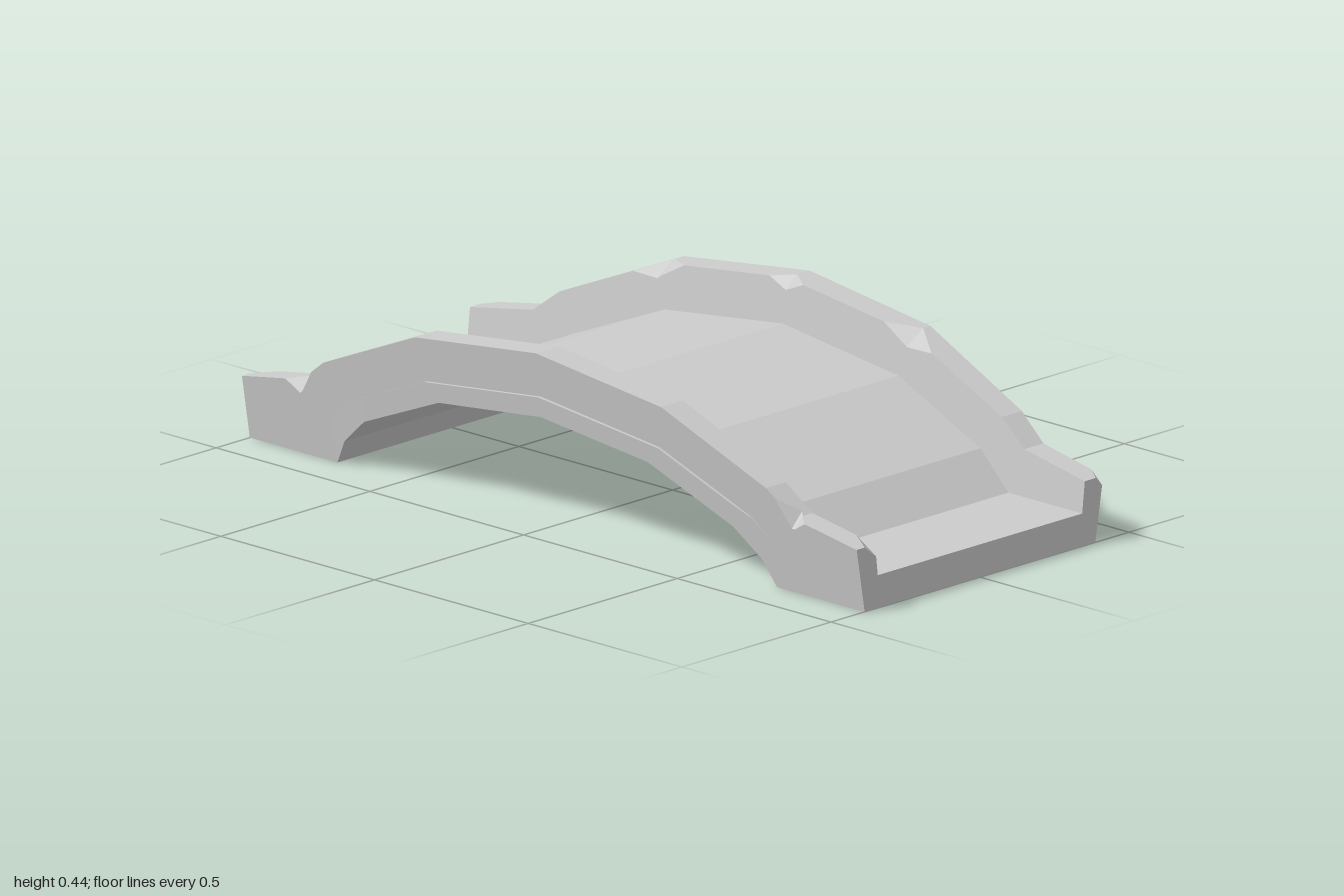
import * as THREE from 'three';

// Half profiles along the span: [distance from centre, height]
const WALL_TOP = [[0, 0.435], [0.4, 0.387], [0.72, 0.252], [0.8, 0.192], [1, 0.157]];
const DECK_TOP = [[0, 0.325], [0.38, 0.28], [0.66, 0.165], [0.76, 0.08], [1, 0.08]];
const UNDERSIDE = [[0, 0.275], [0.34, 0.236], [0.6, 0.13], [0.68, 0.062], [0.715, 0], [1, 0]];
const RIM = [[0, 0.009], [0.6, 0.007], [0.715, 0], [1, 0]];

// Chipped wall edges: side, edge, position, half length, width across the top, depth
const CHIPS = [
  { side: 1, edge: 'inner', z: -0.41, half: 0.08, w: 0.05, d: 0.035 },
  { side: 1, edge: 'inner', z: 0, half: 0.055, w: 0.035, d: 0.03 },
  { side: 1, edge: 'inner', z: 0.4, half: 0.08, w: 0.05, d: 0.035 },
  { side: 1, edge: 'outer', z: -1, half: 0.04, w: 0.025, d: 0.022 },
  { side: 1, edge: 'outer', z: 1, half: 0.04, w: 0.025, d: 0.022 },
  { side: -1, edge: 'inner', z: -1, half: 0.06, w: 0.035, d: 0.03 },
  { side: -1, edge: 'inner', z: 1, half: 0.06, w: 0.035, d: 0.03 },
  { side: -1, edge: 'outer', z: -0.81, half: 0.045, w: 0.04, d: 0.035 },
  { side: -1, edge: 'outer', z: 0.79, half: 0.045, w: 0.04, d: 0.035 },
];

// Star-shaped crack in the deck
const CRACK = { x: 0.24, z: -0.76, depth: 0.03 };
const CRACK_X = [0.28, 0.255, 0.24, 0.225, 0.2];
const CRACK_Z = [-0.86, -0.785, -0.76, -0.735, -0.7];

function heightAt(profile, z) {
  const d = Math.abs(z);
  for (let i = 1; i < profile.length; i++) {
    const [d0, y0] = profile[i - 1], [d1, y1] = profile[i];
    if (d <= d1) return y0 + (y1 - y0) * (d - d0) / (d1 - d0);
  }
  return profile[profile.length - 1][1];
}

// Walls lean outwards
const outerX = y => 0.387 + 0.168 * y;
const innerX = y => 0.334 + 0.113 * y;

function chipAt(side, edge, z) {
  let w = 0, d = 0;
  for (const c of CHIPS) {
    if (c.side !== side || c.edge !== edge) continue;
    const k = Math.max(0, 1 - Math.abs(z - c.z) / c.half);
    w += c.w * k;
    d += c.d * k;
  }
  return { w, d };
}

function crackAt(x, z) {
  const spread = Math.sqrt(Math.abs(x - CRACK.x) / 0.04) + Math.sqrt(Math.abs(z - CRACK.z) / 0.09);
  return CRACK.depth * Math.max(0, 1 - spread);
}

// One wall, from the outer bottom edge over the top to the deck
function wallSection(side, z) {
  const top = heightAt(WALL_TOP, z), deck = heightAt(DECK_TOP, z);
  const low = heightAt(UNDERSIDE, z), rim = heightAt(RIM, z);
  const out = chipAt(side, 'outer', z), inn = chipAt(side, 'inner', z);
  return [
    [outerX(low) + rim, low],
    [outerX(deck) + rim, deck],
    [outerX(deck), deck],
    [outerX(top - out.d), top - out.d],
    [outerX(top) - out.w, top],
    [innerX(top) + inn.w, top],
    [innerX(top - inn.d), top - inn.d],
    [innerX(deck), deck],
  ].map(([x, y]) => new THREE.Vector3(side * x, y, z));
}

// Closed U-shaped cross-section, anticlockwise seen from the front
function section(z) {
  const deck = heightAt(DECK_TOP, z);
  const floor = CRACK_X.map(x => new THREE.Vector3(x, deck - crackAt(x, z), z));
  return [...wallSection(1, z), ...floor, ...wallSection(-1, z).reverse()];
}

// Every position along the span where some edge bends
function stations() {
  const zs = [...CRACK_Z];
  for (const p of [WALL_TOP, DECK_TOP, UNDERSIDE, RIM]) for (const [d] of p) zs.push(d, -d);
  for (const c of CHIPS) zs.push(c.z - c.half, c.z, c.z + c.half);
  return zs.filter(z => Math.abs(z) <= 1).sort((a, b) => a - b)
    .filter((z, i, all) => i === 0 || z - all[i - 1] > 1e-5);
}

function bridgeGeometry() {
  const rings = stations().map(section);
  const n = rings[0].length;
  const positions = [];
  const ab = new THREE.Vector3(), ac = new THREE.Vector3();
  const tri = (a, b, c) => {
    ab.subVectors(b, a);
    ac.subVectors(c, a);
    if (ab.cross(ac).length() < 1e-9) return;
    for (const p of [a, b, c]) positions.push(p.x, p.y, p.z);
  };

  // Skin between neighbouring sections
  for (let s = 0; s < rings.length - 1; s++) {
    const r = rings[s], q = rings[s + 1];
    for (let i = 0; i < n; i++) {
      const j = (i + 1) % n;
      tri(r[i], r[j], q[j]);
      tri(r[i], q[j], q[i]);
    }
  }

  // End faces: two walls and the slab between them
  const cap = (r, flip) => {
    const face = (a, b, c) => (flip ? tri(r[a], r[c], r[b]) : tri(r[a], r[b], r[c]));
    const left = n - 8;
    for (let i = 0; i < 6; i++) {
      face(7, i, i + 1);
      face(left, left + 1 + i, left + 2 + i);
    }
    face(n - 1, 0, 7);
    face(n - 1, 7, left);
  };
  cap(rings[0], true);
  cap(rings[rings.length - 1], false);

  const geometry = new THREE.BufferGeometry();
  geometry.setAttribute('position', new THREE.Float32BufferAttribute(positions, 3));
  geometry.computeVertexNormals();
  return geometry;
}

export function createModel() {
  const group = new THREE.Group();
  group.name = 'archedBridge';
  const stone = new THREE.MeshStandardMaterial({ color: 0xcccccc, flatShading: true });
  const body = new THREE.Mesh(bridgeGeometry(), stone);
  body.name = 'bridgeDeckAndWalls';
  group.add(body);
  return group;
}
